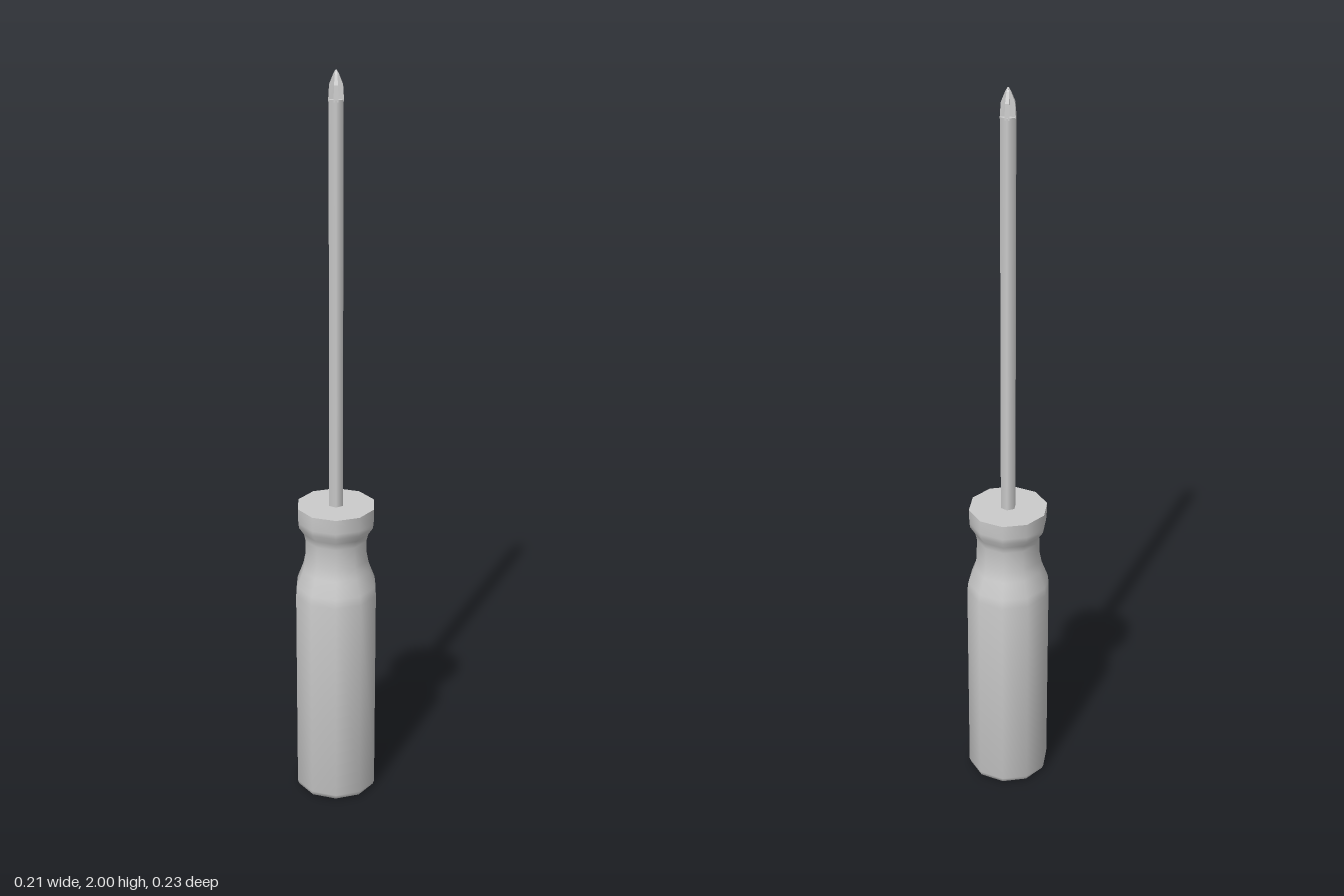
import * as THREE from 'three';
import { toCreasedNormals } from 'three/addons/utils/BufferGeometryUtils.js';

const material = new THREE.MeshStandardMaterial({ color: 0xcccccc });
const flatMaterial = new THREE.MeshStandardMaterial({ color: 0xcccccc, flatShading: true });

function addMesh(group, name, geometry, mat = material) {
  const mesh = new THREE.Mesh(geometry, mat);
  mesh.name = name;
  group.add(mesh);
  return mesh;
}

// Cross-shaped bit: four flared wings with valleys between, lofted upwards
function crossTipGeometry() {
  // y, wing reach, wing half width, valley offset
  const levels = [
    [1.925, 0.0195, 0.006, 0.0035],
    [1.965, 0.017, 0.005, 0.0033],
    [1.99, 0.007, 0.003, 0.0025],
    [2.0, 0.0015, 0.001, 0.001],
  ];
  const positions = [];
  const indices = [];
  const n = 12;
  for (const [y, reach, half, valley] of levels) {
    for (let i = 0; i < 4; i++) {
      const c = Math.round(Math.cos(i * Math.PI / 2));
      const s = Math.round(Math.sin(i * Math.PI / 2));
      for (const [u, v] of [[reach, -half], [reach, half], [valley, valley]]) {
        positions.push(u * s + v * c, y, u * c - v * s);
      }
    }
  }
  for (let r = 0; r < levels.length - 1; r++) {
    for (let i = 0; i < n; i++) {
      const a = r * n + i, b = r * n + (i + 1) % n;
      indices.push(a, b, b + n, a, b + n, a + n);
    }
  }
  // Small cap at the point
  const last = (levels.length - 1) * n;
  const centre = positions.length / 3;
  positions.push(0, 2, 0);
  for (let i = 0; i < n; i++) indices.push(last + i, last + (i + 1) % n, centre);

  const geometry = new THREE.BufferGeometry();
  geometry.setAttribute('position', new THREE.Float32BufferAttribute(positions, 3));
  geometry.setIndex(indices);
  geometry.computeVertexNormals();
  return geometry;
}

export function createModel() {
  const group = new THREE.Group();
  group.name = 'screwdriver';

  // Ten-sided handle with a waisted neck and a collar
  const profile = [
    [0, 0], [0.102, 0], [0.109, 0.004], [0.113, 0.016],
    [0.113, 0.6], [0.11, 0.625], [0.093, 0.67], [0.087, 0.7],
    [0.085, 0.76], [0.09, 0.78], [0.103, 0.8], [0.105, 0.815],
    [0.106, 0.855], [0, 0.855],
  ].map(([r, y]) => new THREE.Vector2(r, y));
  const handle = new THREE.LatheGeometry(profile, 10);
  addMesh(group, 'handle', toCreasedNormals(handle, 0.85));

  // Hexagonal shaft
  const shaft = addMesh(group, 'shaft', new THREE.CylinderGeometry(0.021, 0.021, 1.08, 6));
  shaft.position.y = 1.39;

  addMesh(group, 'crossTip', crossTipGeometry(), flatMaterial);
  // Both sides of the loft are thin, so draw them both
  flatMaterial.side = THREE.DoubleSide;

  return group;
}
